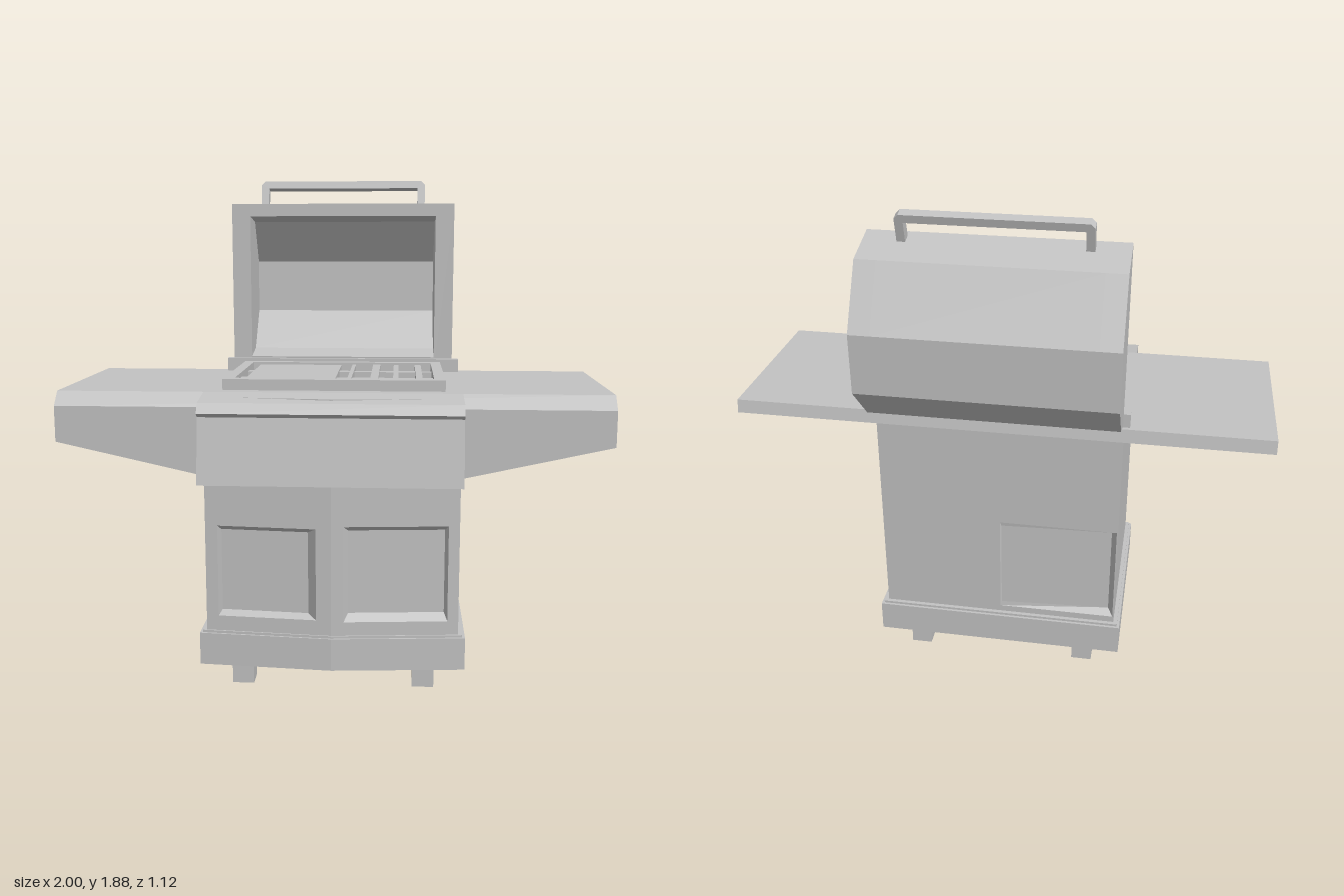
import * as THREE from 'three';

const steel = new THREE.MeshStandardMaterial({ color: 0xc2c2c2, flatShading: true });
steel.name = 'brushed steel grey';

export function createModel() {
  const model = new THREE.Group();
  model.name = 'barbecueGrill';

  const add = (name, geometry, parent = model) => {
    const mesh = new THREE.Mesh(geometry, steel);
    mesh.name = name;
    parent.add(mesh);
    return mesh;
  };
  // Box given by its limits on each axis
  const box = (name, [x0, x1], [y0, y1], [z0, z1], parent) => {
    const g = new THREE.BoxGeometry(x1 - x0, y1 - y0, z1 - z0);
    g.translate((x0 + x1) / 2, (y0 + y1) / 2, (z0 + z1) / 2);
    return add(name, g, parent);
  };
  const shapeOf = (pts) => new THREE.Shape(pts.map(([a, b]) => new THREE.Vector2(a, b)));
  const extrude = (shape, depth) => new THREE.ExtrudeGeometry(shape, { depth, bevelEnabled: false });
  // Side profile of [z, y] points swept from x0 to x1
  const sweepX = (name, pts, x0, x1) =>
    add(name, extrude(shapeOf(pts), x1 - x0).rotateY(-Math.PI / 2).translate(x1, 0, 0));
  // Plan outline of [x, z] points raised from y0 to y1
  const raise = (name, shape, y0, y1) =>
    add(name, extrude(shape, y1 - y0).rotateX(-Math.PI / 2).translate(0, y0, 0));
  // Four-cornered rings joined in order, last one closed
  const panel = (name, rings) => {
    const pos = [];
    const quad = (a, b, c, d) => [a, b, c, a, c, d].forEach((p) => pos.push(...p));
    for (let r = 0; r + 1 < rings.length; r++) {
      for (let i = 0; i < 4; i++) {
        const j = (i + 1) % 4;
        quad(rings[r][i], rings[r][j], rings[r + 1][j], rings[r + 1][i]);
      }
    }
    quad(...rings[rings.length - 1]);
    const g = new THREE.BufferGeometry();
    g.setAttribute('position', new THREE.Float32BufferAttribute(pos, 3));
    g.computeVertexNormals();
    return add(name, g);
  };

  // Cabinet walls: the front is a shallow V, the back leans slightly
  const Y0 = 0.215, Y1 = 1.09, W = 0.46;
  const frontZ = (x, y, d) => 0.484 - 0.085 * Math.abs(x) - d;
  const backZ = (x, y, d) => -0.28 - 0.011 * (y - Y0) + d;
  const ring = (zAt, [x0, x1, y0, y1], d0 = 0, d1 = d0) =>
    [[x0, y0, d0], [x1, y0, d1], [x1, y1, d1], [x0, y1, d0]].map(([x, y, d]) => [x, y, zAt(x, y, d)]);

  panel('frontRightDoor', [
    ring(frontZ, [-W, 0, Y0, Y1]),
    ring(frontZ, [-0.415, -0.055, 0.28, 0.62]),
    ring(frontZ, [-0.405, -0.085, 0.295, 0.6], 0.03),
  ]);
  panel('frontLeftDoor', [
    ring(frontZ, [0, W, Y0, Y1]),
    ring(frontZ, [0.045, 0.42, 0.275, 0.63]),
    ring(frontZ, [0.06, 0.408, 0.3, 0.61], 0.03),
  ]);
  panel('backPlainWall', [ring(backZ, [W, 0, Y0, Y1])]);
  panel('backRecessedWall', [
    ring(backZ, [0, -W, Y0, Y1]),
    ring(backZ, [-0.005, -0.455, 0.25, 0.65]),
    ring(backZ, [-0.01, -0.435, 0.27, 0.635], 0.002, 0.03),
  ]);
  for (const s of [1, -1]) {
    const side = [[frontZ, Y0], [backZ, Y0], [backZ, Y1], [frontZ, Y1]].map(([zAt, y]) => [s * W, y, zAt(W, y, 0)]);
    panel(s > 0 ? 'leftWall' : 'rightWall', [s > 0 ? side : side.reverse()]);
  }

  // Plinth with a stepped top edge, and feet
  const plan = (w, back, corner, mid) =>
    shapeOf([[-w, -back], [w, -back], [w, -corner], [0, -mid], [-w, -corner]]);
  raise('plinth', plan(0.485, -0.305, 0.457, 0.495), 0.095, 0.215);
  raise('plinthTopEdge', plan(0.475, -0.295, 0.45, 0.489), 0.215, 0.224);
  for (const x of [-0.335, 0.335]) {
    for (const z of [0.36, -0.215]) {
      box('foot', [x - 0.04, x + 0.04], [0, 0.1], [z - 0.04, z + 0.04]);
    }
  }

  // Worktop with side shelves and tapering aprons
  sweepX('worktop', [[-0.3, 1.05], [-0.291, 1.1], [0.39, 1.1], [0.435, 1.05]], -1, 1);
  for (const s of [1, -1]) {
    const apron = shapeOf([[s * 0.45, 1.051], [s, 1.051], [s, 0.92], [s * 0.45, 0.798]]);
    add(s > 0 ? 'leftShelfApron' : 'rightShelfApron', extrude(apron, 0.037).translate(0, 0, 0.398));
  }

  // Control panel with an overhanging lip
  sweepX('controlPanel', [
    [0.39, 1.1], [0.52, 1.08], [0.545, 1.045], [0.525, 1.03],
    [0.565, 0.795], [0.4, 0.795],
  ], -0.465, 0.465);

  // Cooking surface: frame, griddle plate, grate bars and cross rungs
  const frame = shapeOf([[-0.405, -0.34], [0.405, -0.34], [0.405, 0.245], [-0.405, 0.245]]);
  frame.holes.push(new THREE.Path([[-0.365, -0.3], [-0.365, 0.21], [0.365, 0.21], [0.365, -0.3]]
    .map(([a, b]) => new THREE.Vector2(a, b))));
  raise('grillFrame', frame, 1.095, 1.14);
  box('griddlePlate', [-0.335, 0], [1.095, 1.13], [-0.21, 0.3]);
  for (const [x0, x1] of [[0.045, 0.06], [0.13, 0.16], [0.215, 0.235], [0.3, 0.325]]) {
    box('grateBar', [x0, x1], [1.1, 1.132], [-0.21, 0.3]);
  }
  for (const z of [-0.06, 0.15]) {
    box('grateRung', [0, 0.365], [1.095, 1.122], [z - 0.02, z + 0.02]);
    box('griddleRung', [-0.365, -0.335], [1.095, 1.122], [z - 0.02, z + 0.02]);
  }

  // Open lid: hollow middle between two solid ends
  const lidOuter = [
    [-0.267, 1.785], [-0.435, 1.735], [-0.56, 1.515],
    [-0.555, 1.297], [-0.406, 1.15], [-0.272, 1.104],
  ];
  const lidInner = [
    [-0.267, 1.158], [-0.385, 1.182], [-0.515, 1.335],
    [-0.52, 1.547], [-0.41, 1.715], [-0.267, 1.735],
  ];
  sweepX('lidShell', [...lidOuter, ...lidInner], -0.38, 0.38);
  sweepX('lidRightEnd', lidOuter, -0.455, -0.38);
  sweepX('lidLeftEnd', lidOuter, 0.38, 0.455);
  box('hingeBar', [-0.48, 0.48], [1.095, 1.152], [-0.276, -0.247]);

  // Lid handle: chamfered arch leaning back
  const handle = extrude(shapeOf([
    [-0.335, 0], [-0.335, 0.095], [-0.32, 0.11], [0.32, 0.11], [0.335, 0.095], [0.335, 0],
    [0.305, 0], [0.305, 0.08], [-0.305, 0.08], [-0.305, 0],
  ]), 0.038).translate(0, 0, -0.019);
  const lidHandle = add('lidHandle', handle);
  lidHandle.position.set(0, 1.766, -0.308);
  lidHandle.rotation.x = -0.27;

  return model;
}
